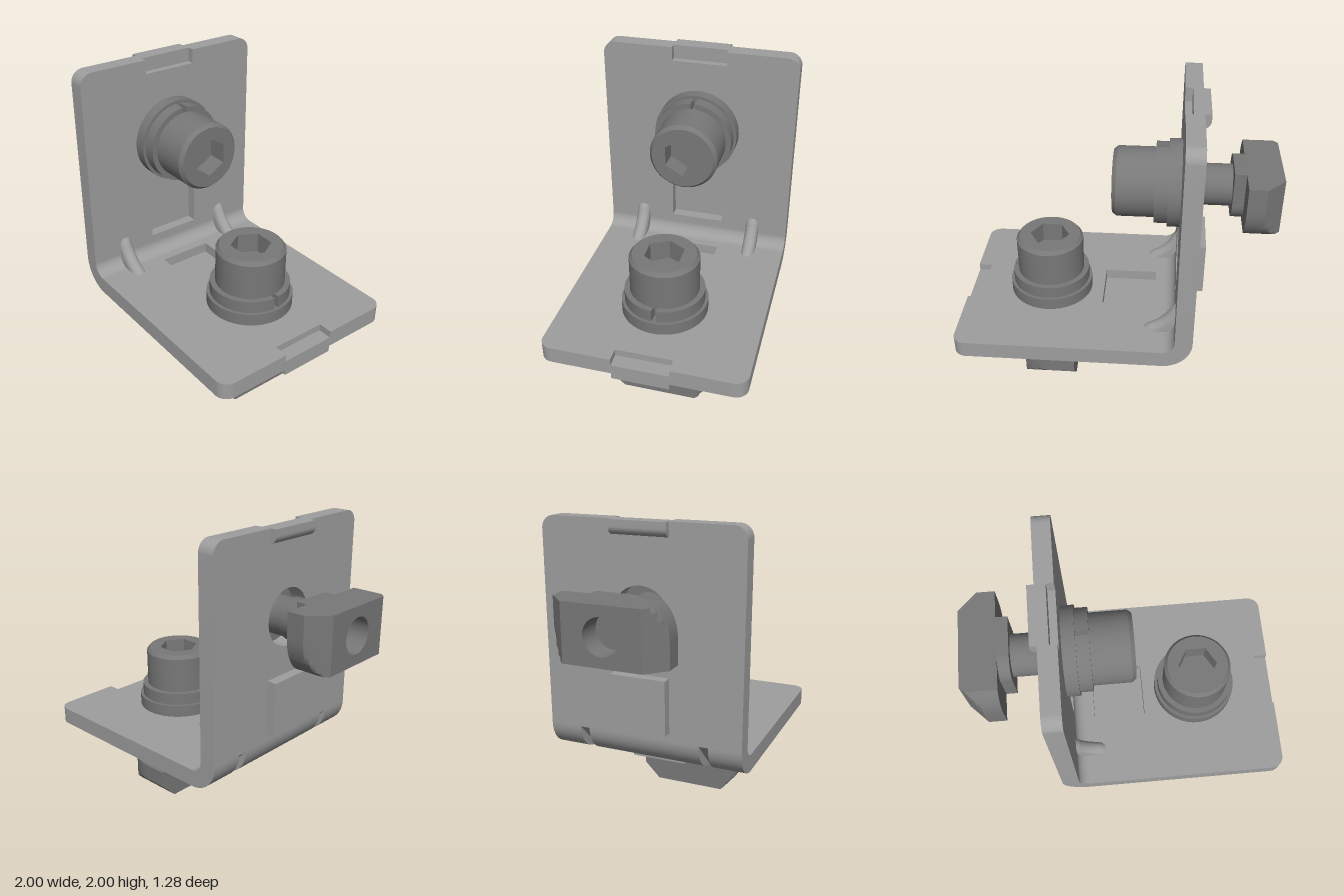
import * as THREE from 'three';
import { toCreasedNormals } from 'three/addons/utils/BufferGeometryUtils.js';

const bracketGrey = new THREE.MeshStandardMaterial({ name: 'bracketGrey', color: 0x9e9e9e });
const boltGrey = new THREE.MeshStandardMaterial({ name: 'boltGrey', color: 0x787878 });

const BOLT_X = 0.445, HALF_W = 0.64;

function add(parent, name, geometry, material) {
  const mesh = new THREE.Mesh(toCreasedNormals(geometry, 0.5), material);
  mesh.name = name;
  parent.add(mesh);
  return mesh;
}

// Extrudes a plan shape (shape y = model z) between two heights
function slab(shape, y0, y1, steps = 1) {
  const g = new THREE.ExtrudeGeometry(shape, { depth: y1 - y0, steps, bevelEnabled: false, curveSegments: 24 });
  return g.rotateX(Math.PI / 2).translate(0, y1, 0);
}

// Extrudes a front-profile shape along z
function along(shape, z0, z1) {
  return new THREE.ExtrudeGeometry(shape, { depth: z1 - z0, bevelEnabled: false, curveSegments: 14 }).translate(0, 0, z0);
}

function lathe(points) {
  return new THREE.LatheGeometry(points.map(([r, y]) => new THREE.Vector2(r, y)), 56);
}

function polygon(points, Type = THREE.Shape) {
  return new Type(points.map(([x, y]) => new THREE.Vector2(x, y)));
}

function circle(r) {
  return new THREE.Path().absarc(0, 0, r, 0, Math.PI * 2);
}

function createPlate() {
  const plate = new THREE.Group();
  plate.name = 'plate';
  const r = 0.08, w = HALF_W;

  // Plate outline with rounded outer corners and an end notch
  const s = new THREE.Shape();
  s.moveTo(-0.32, -w);
  s.lineTo(1 - r, -w);
  s.absarc(1 - r, -w + r, r, -Math.PI / 2, 0);
  s.lineTo(1, -0.18);
  s.lineTo(0.91, -0.18);
  s.lineTo(0.91, 0.18);
  s.lineTo(1, 0.18);
  s.absarc(1 - r, w - r, r, 0, Math.PI / 2);
  s.lineTo(-0.32, w);
  s.holes.push(new THREE.Path().absarc(BOLT_X, 0, 0.18, 0, Math.PI * 2));
  const window = [[-0.265, -0.18], [-0.265, 0.18], [0.085, 0.18], [0.085, -0.18]];
  s.holes.push(polygon(window, THREE.Path));
  add(plate, 'plateSheet', slab(s, 0.49, 0.6), bracketGrey);

  // Locating key pressed through the sheet
  add(plate, 'locatingKey', slab(polygon(window), 0.425, 0.53), bracketGrey);

  // Pressed lip at the free end
  const lip = new THREE.Shape();
  lip.moveTo(0.91, 0.555);
  lip.lineTo(0.91, 0.5);
  lip.absarc(0.96, 0.5, 0.05, Math.PI, Math.PI * 1.5);
  lip.lineTo(1, 0.45);
  lip.lineTo(1, 0.555);
  add(plate, 'endLip', along(lip, -0.18, 0.18), bracketGrey);
  return plate;
}

function createBolt() {
  const bolt = new THREE.Group();
  bolt.name = 'boltAssembly';
  bolt.position.x = BOLT_X;

  add(bolt, 'washer', lathe([[0, 0.6], [0.275, 0.6], [0.275, 0.68], [0, 0.68]]), boltGrey);

  // Split spring washer
  const ring = new THREE.Shape();
  ring.absarc(0, 0, 0.255, 0.06, Math.PI * 2 - 0.06);
  ring.absarc(0, 0, 0.19, Math.PI * 2 - 0.06, 0.06, true);
  add(bolt, 'springWasher', slab(ring, 0.68, 0.76), boltGrey);

  // Socket head with a hexagonal recess
  add(bolt, 'boltHead', lathe([[0.2, 0.68], [0.2, 0.76], [0.22, 0.76], [0.22, 0.995],
    [0.2, 1.02], [0.2, 0.89], [0, 0.89]]), boltGrey);
  const top = new THREE.Shape().absarc(0, 0, 0.2, 0, Math.PI * 2);
  const hex = [];
  for (let i = 0; i < 6; i++) hex.push([0.128 * Math.cos(i * Math.PI / 3), 0.128 * Math.sin(i * Math.PI / 3)]);
  top.holes.push(polygon(hex, THREE.Path));
  add(bolt, 'hexSocket', slab(top, 0.89, 1.02), boltGrey);

  add(bolt, 'boltShaft', lathe([[0, 0.15], [0.13, 0.15], [0.13, 0.45], [0.12, 0.47], [0.12, 0.62]]), boltGrey);

  // Slot nut: opposite corners rounded, lower ends chamfered
  const body = new THREE.Shape();
  body.moveTo(-0.175, -0.35);
  body.lineTo(-0.03, -0.35);
  body.quadraticCurveTo(0.1, -0.35, 0.175, -0.27);
  body.lineTo(0.175, 0.35);
  body.lineTo(0.03, 0.35);
  body.quadraticCurveTo(-0.1, 0.35, -0.175, 0.27);
  body.holes.push(circle(0.11));
  const nut = slab(body, 0, 0.22, 8);
  const p = nut.attributes.position;
  for (let i = 0; i < p.count; i++) {
    const limit = 0.24 + p.getY(i);
    p.setZ(i, THREE.MathUtils.clamp(p.getZ(i), -limit, limit));
  }
  add(bolt, 'slotNut', nut, boltGrey);

  // Nut collar
  const collar = new THREE.Shape();
  const c = 0.13;
  collar.moveTo(-0.175, -0.18);
  collar.lineTo(0.175 - c, -0.18);
  collar.absarc(0.175 - c, -0.18 + c, c, -Math.PI / 2, 0);
  collar.lineTo(0.175, 0.18);
  collar.lineTo(-0.175 + c, 0.18);
  collar.absarc(-0.175 + c, 0.18 - c, c, Math.PI / 2, Math.PI);
  add(bolt, 'nutCollar', slab(collar, 0.22, 0.29), boltGrey);
  return bolt;
}

// Curved corner of the angle, flattened outside behind each rib
function createBend() {
  const bend = new THREE.Group();
  bend.name = 'bend';
  const section = (dimpled) => {
    const s = new THREE.Shape();
    s.moveTo(-0.51, 0.68);
    if (dimpled) s.lineTo(-0.32, 0.49);
    else s.absarc(-0.32, 0.68, 0.19, Math.PI, Math.PI * 1.5);
    s.lineTo(-0.32, 0.6);
    s.absarc(-0.32, 0.68, 0.08, Math.PI * 1.5, Math.PI, true);
    return s;
  };
  const cuts = [-HALF_W, -0.43, -0.37, 0.37, 0.43, HALF_W];
  for (let i = 0; i < 5; i++) {
    add(bend, i % 2 ? 'bendDimple' : 'bendSection', along(section(i % 2 === 1), cuts[i], cuts[i + 1]), bracketGrey);
  }
  return bend;
}

// Rounded stiffening rib in the inner corner
function createRib(z) {
  const s = new THREE.Shape();
  s.moveTo(-0.43, 0.78);
  s.lineTo(-0.4, 0.64);
  s.lineTo(-0.36, 0.6);
  s.lineTo(-0.22, 0.57);
  s.quadraticCurveTo(-0.37, 0.63, -0.43, 0.78);
  const g = new THREE.ExtrudeGeometry(s, {
    depth: 0.004, bevelEnabled: true, bevelSize: 0.045, bevelThickness: 0.043, bevelSegments: 6, curveSegments: 12,
  }).translate(0, 0, z - 0.002);
  const rib = new THREE.Mesh(toCreasedNormals(g, 0.8), bracketGrey);
  rib.name = 'stiffeningRib';
  return rib;
}

export function createModel() {
  const model = new THREE.Group();
  model.name = 'angleBracket';

  // Two identical arms, the second turned half a revolution about the corner diagonal
  for (const name of ['baseArm', 'uprightArm']) {
    const arm = new THREE.Group();
    arm.name = name;
    arm.add(createPlate(), createBolt());
    if (name === 'uprightArm') {
      arm.quaternion.setFromAxisAngle(new THREE.Vector3(1, 1, 0).normalize(), Math.PI);
      arm.position.set(-1, 1, 0);
    }
    model.add(arm);
  }
  model.add(createBend(), createRib(0.4), createRib(-0.4));
  return model;
}
